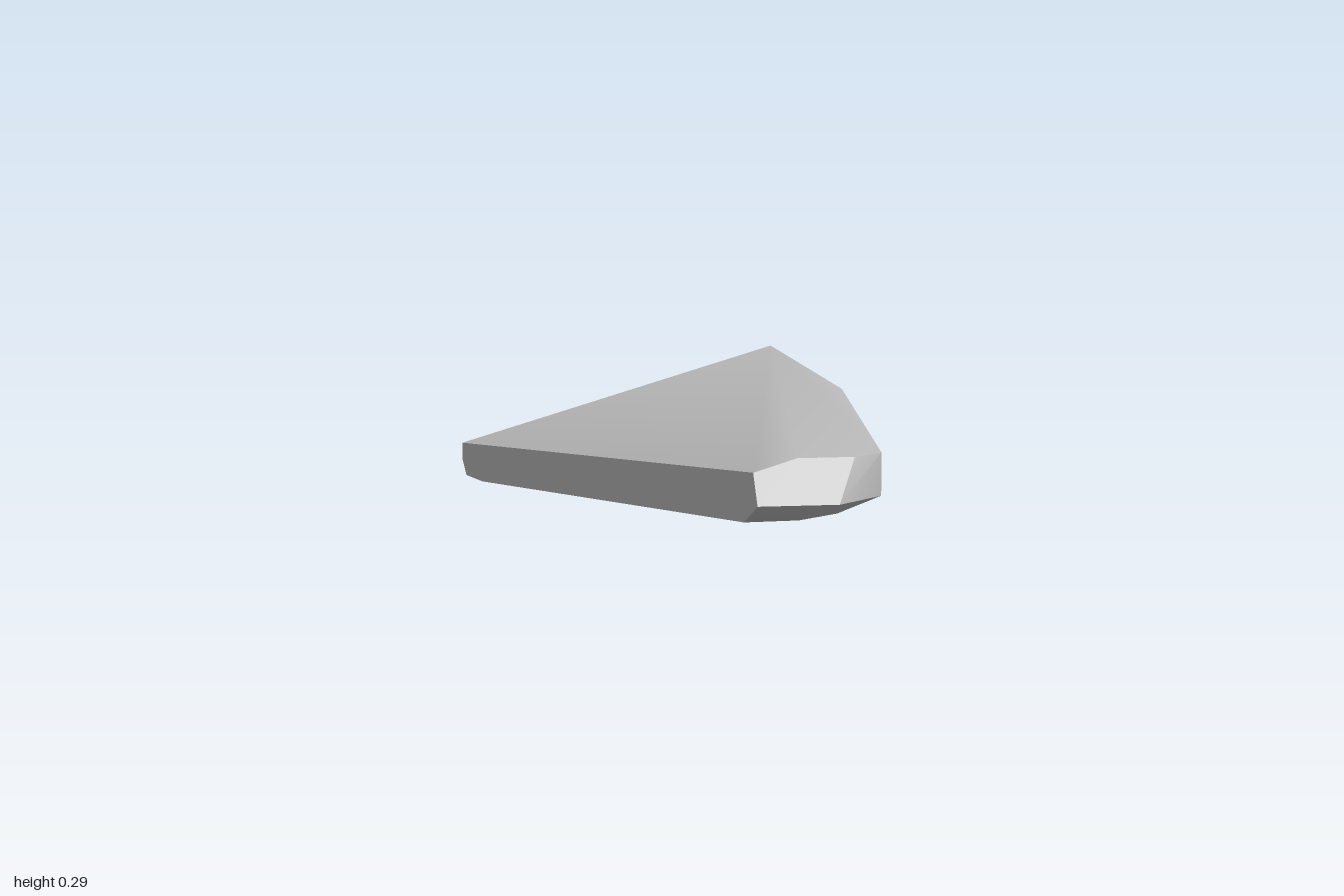
import * as THREE from 'three';
import { ConvexGeometry } from 'three/addons/geometries/ConvexGeometry.js';
import { toCreasedNormals } from 'three/addons/utils/BufferGeometryUtils.js';

const W = 0.083; // half width

export function createModel() {
  const group = new THREE.Group();
  const grey = new THREE.MeshStandardMaterial({ color: 0xbfbfbf });
  grey.name = 'light grey';

  const v = (x, y, z) => new THREE.Vector3(x, y, z);
  const pts = [];

  // squared back end and bevelled heel, the same on both sides
  for (const x of [-W, W]) {
    pts.push(v(x, 0.035, -1), v(x, 0.014, -1), v(x, 0, -0.96), v(x, 0.015, -0.8));
  }

  // raised edge: climbs to a peak, runs level, then tapers inward to the tip
  pts.push(
    v(W, 0.288, 0.18), v(W, 0.288, 0.53),
    v(0.03, 0.288, 0.95), v(0.003, 0.288, 0.972), v(-0.045, 0.288, 0.972)
  );

  // straight low edge and underside of the tip
  pts.push(v(-W, 0.278, 0.98), v(-W, 0.253, 1), v(-W, 0.231, 0.94));
  pts.push(v(-0.015, 0.253, 1), v(0.03, 0.252, 0.95));

  // lower chamfer widening toward the front
  pts.push(
    v(W, 0.196, 0.53), v(W, 0.134, 0.15),
    v(0.075, 0.167, 0.42), v(0.03, 0.21, 0.77), v(-0.035, 0.23, 0.93)
  );

  const geometry = toCreasedNormals(new ConvexGeometry(pts), THREE.MathUtils.degToRad(35));
  const body = new THREE.Mesh(geometry, grey);
  body.name = 'taperedBody';
  group.add(body);
  return group;
}
